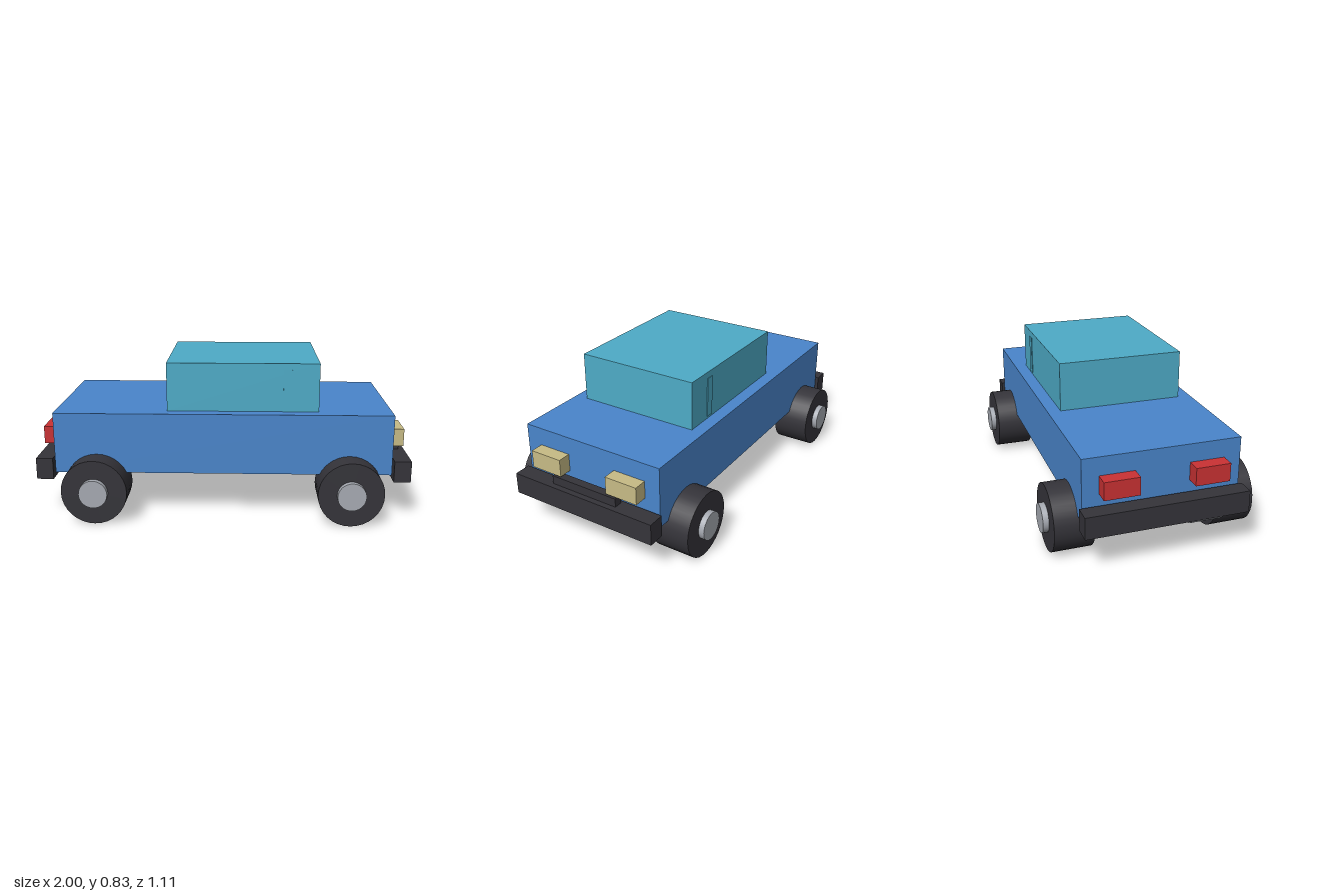
import * as THREE from 'three';

const flat = (name, color) => {
  const m = new THREE.MeshStandardMaterial({ color });
  m.name = name;
  return m;
};

export function createModel() {
  const blue = flat('body blue', 0x4a86cc);
  const teal = flat('cabin teal', 0x4eacc8);
  const dark = flat('rubber dark', 0x35343a);
  const grey = flat('metal grey', 0xa7abb3);
  const tan = flat('headlight tan', 0xc8bc86);
  const red = flat('taillight red', 0xcb3234);

  const car = new THREE.Group();
  car.name = 'car';

  // Box given by its extents along each axis
  const box = (name, mat, [x0, x1], [y0, y1], [z0, z1]) => {
    const mesh = new THREE.Mesh(new THREE.BoxGeometry(x1 - x0, y1 - y0, z1 - z0), mat);
    mesh.position.set((x0 + x1) / 2, (y0 + y1) / 2, (z0 + z1) / 2);
    mesh.name = name;
    car.add(mesh);
  };

  // Cylinder lying along z between z0 and z1
  const rod = (name, mat, r, x, y, [z0, z1]) => {
    const geo = new THREE.CylinderGeometry(r, r, z1 - z0, 32).rotateX(Math.PI / 2);
    const mesh = new THREE.Mesh(geo, mat);
    mesh.position.set(x, y, (z0 + z1) / 2);
    mesh.name = name;
    car.add(mesh);
  };

  // Body and cabin
  box('body', blue, [-0.9, 0.9], [0.245, 0.572], [-0.405, 0.405]);
  box('cabin', teal, [-0.3, 0.51], [0.57, 0.832], [-0.336, 0.336]);

  // Bumpers, grille and exhaust
  box('frontBumper', dark, [0.91, 1], [0.21, 0.325], [-0.42, 0.42]);
  box('rearBumper', dark, [-1, -0.91], [0.21, 0.325], [-0.42, 0.42]);
  box('grille', dark, [0.925, 0.97], [0.26, 0.371], [-0.195, 0.195]);
  rod('exhaust', grey, 0.034, -0.957, 0.217, [0.115, 0.285]);

  // Paired parts on both sides
  for (const s of [1, -1]) {
    const span = (a, b) => (s > 0 ? [a, b] : [-b, -a]);
    box('headlight', tan, [0.9, 0.97], [0.382, 0.476], span(0.14, 0.32));
    box('taillight', red, [-0.973, -0.9], [0.382, 0.476], span(0.14, 0.32));
    box('windowPillar', teal, [0.32, 0.365], [0.585, 0.798], span(0.331, 0.34));
    for (const x of [-0.675, 0.675]) {
      rod('tyre', dark, 0.174, x, 0.174, span(0.32, 0.525));
      rod('hub', grey, 0.075, x, 0.174, span(0.5, 0.555));
    }
  }
  return car;
}
